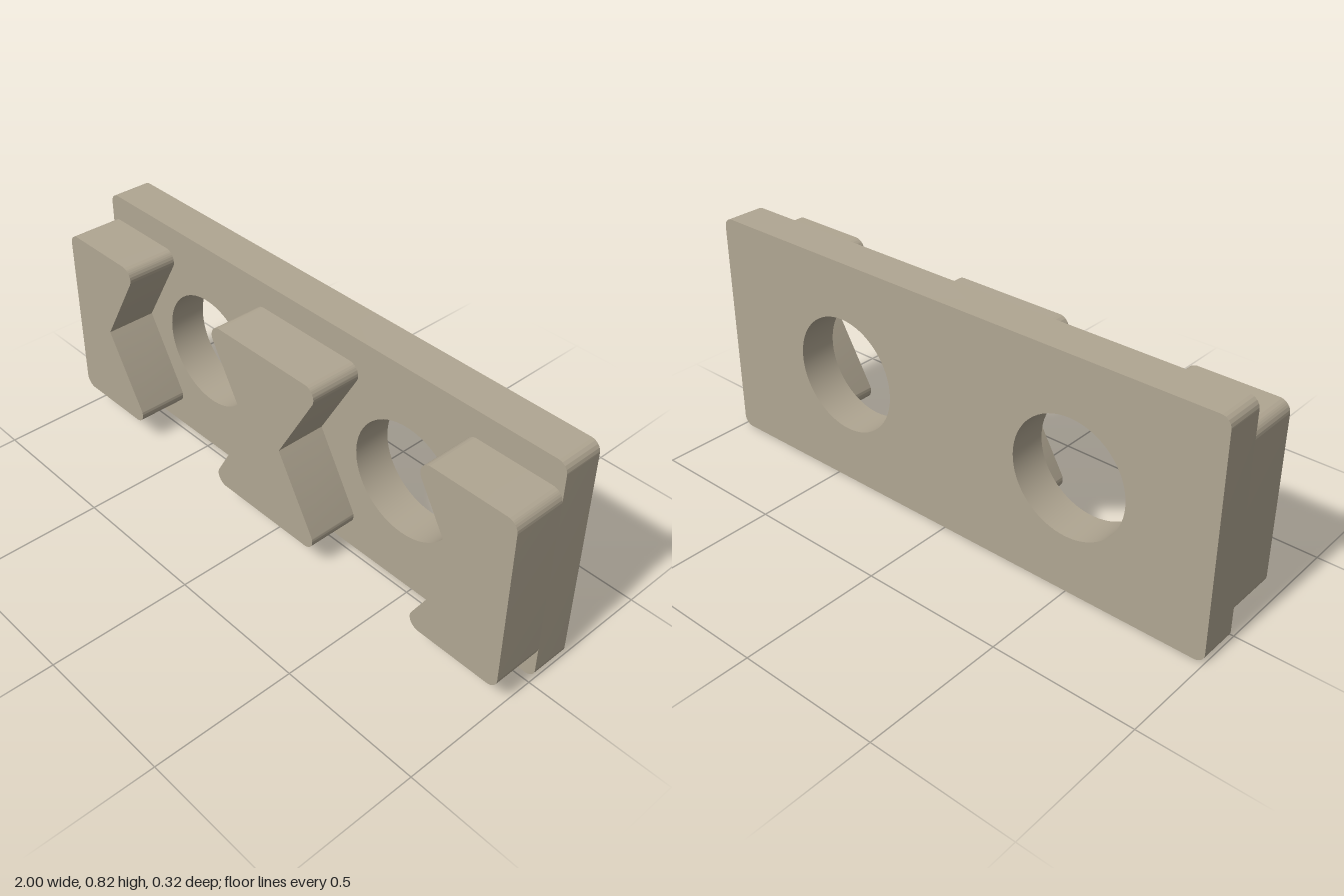
import * as THREE from 'three';
import { toCreasedNormals } from 'three/addons/utils/BufferGeometryUtils.js';

const BACK = -0.16, STEP = -0.022, FRONT = 0.16; // depth levels
const HEIGHT = 0.82, MID = HEIGHT / 2, HALF_BLOCK = 0.318;

// Counter-clockwise outline; each corner is [x, y, radius]
function roundedShape(corners) {
  const shape = new THREE.Shape();
  const n = corners.length;
  corners.forEach(([x, y, r], i) => {
    const p = new THREE.Vector2(x, y);
    const a = new THREE.Vector2(...corners[(i + n - 1) % n]).sub(p).normalize();
    const b = new THREE.Vector2(...corners[(i + 1) % n]).sub(p).normalize();
    const half = Math.acos(a.dot(b)) / 2;
    const start = p.clone().addScaledVector(a, r / Math.tan(half));
    if (i === 0) shape.moveTo(start.x, start.y);
    else shape.lineTo(start.x, start.y);
    if (r > 0) {
      const end = p.clone().addScaledVector(b, r / Math.tan(half));
      const c = p.clone().addScaledVector(a.clone().add(b).normalize(), r / Math.sin(half));
      shape.absarc(c.x, c.y, r, Math.atan2(start.y - c.y, start.x - c.x),
        Math.atan2(end.y - c.y, end.x - c.x), false);
    }
  });
  shape.closePath();
  return shape;
}

export function createModel() {
  const group = new THREE.Group();
  const material = new THREE.MeshStandardMaterial({ color: 0xb0a692 });

  function addPart(name, shape, z0, z1) {
    const geometry = new THREE.ExtrudeGeometry(shape, { depth: z1 - z0, bevelEnabled: false, curveSegments: 32 });
    const mesh = new THREE.Mesh(toCreasedNormals(geometry, 0.5), material);
    mesh.name = name;
    mesh.position.z = z0;
    group.add(mesh);
  }

  // Back plate with two round through-holes
  const R = 0.035;
  const plate = roundedShape([[-1, 0, R], [1, 0, R], [1, HEIGHT, R], [-1, HEIGHT, R]]);
  for (const x of [-0.49, 0.44]) {
    plate.holes.push(new THREE.Path().absarc(x, MID, 0.207, 0, Math.PI * 2, true));
  }
  addPart('backPlate', plate, BACK, STEP);

  // Raised dovetail blocks: 60 degree notched sides face the holes
  const flare = HALF_BLOCK / Math.sqrt(3), lo = MID - HALF_BLOCK, hi = MID + HALF_BLOCK, r = 0.038;
  function addBlock(name, leftWaist, rightWaist) {
    const left = leftWaist === null ? -1 : leftWaist - flare;
    const right = rightWaist === null ? 1 : rightWaist + flare;
    const corners = [[left, lo, r], [right, lo, r]];
    if (rightWaist !== null) corners.push([rightWaist, MID, 0]);
    corners.push([right, hi, r], [left, hi, r]);
    if (leftWaist !== null) corners.push([leftWaist, MID, 0]);
    addPart(name, roundedShape(corners), STEP, FRONT);
  }
  addBlock('rightEndBlock', null, -0.817);
  addBlock('middleBlock', -0.08, 0.075);
  addBlock('leftEndBlock', 0.814, null);

  return group;
}
